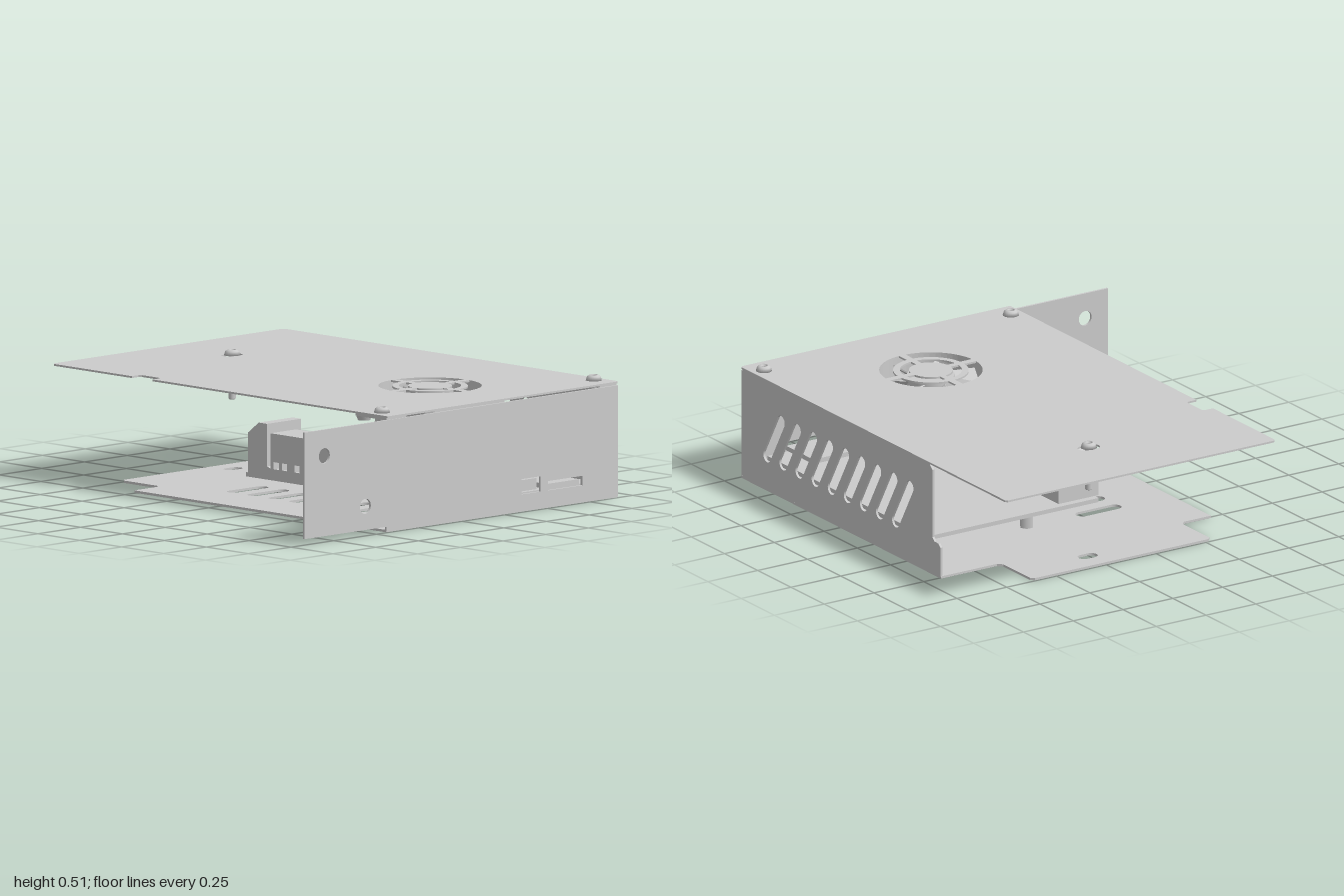
import * as THREE from 'three';

const mat = new THREE.MeshStandardMaterial({ color: 0xcccccc });

export function createModel() {
  const root = new THREE.Group();

  const add = (name, geo, x = 0, y = 0, z = 0, parent = root) => {
    const m = new THREE.Mesh(geo, mat);
    m.name = name;
    m.position.set(x, y, z);
    parent.add(m);
    return m;
  };
  // Box given by its min and max on each axis
  const box = (name, x0, x1, y0, y1, z0, z1) =>
    add(name, new THREE.BoxGeometry(x1 - x0, y1 - y0, z1 - z0), (x0 + x1) / 2, (y0 + y1) / 2, (z0 + z1) / 2);
  const cyl = (name, r, x, y0, y1, z, sides = 20, r2 = r) =>
    add(name, new THREE.CylinderGeometry(r2, r, y1 - y0, sides), x, (y0 + y1) / 2, z);

  const poly = (pts) => new THREE.Shape(pts.map((p) => new THREE.Vector2(p[0], p[1])));
  const polyHole = (pts) => new THREE.Path(pts.map((p) => new THREE.Vector2(p[0], p[1])));
  const rectHole = (a, b, c, d) => polyHole([[a, c], [a, d], [b, d], [b, c]]);
  // Rounded slot; angle is the direction of its long axis
  const slot = (cx, cy, length, width, angle) => {
    const p = new THREE.Path(), h = (length - width) / 2, r = width / 2;
    const dx = Math.cos(angle) * h, dy = Math.sin(angle) * h;
    p.absarc(cx + dx, cy + dy, r, angle - Math.PI / 2, angle + Math.PI / 2, false);
    p.absarc(cx - dx, cy - dy, r, angle + Math.PI / 2, angle + Math.PI * 1.5, false);
    p.closePath();
    return p;
  };
  // Quarter ring opening between two spokes
  const arcHole = (cx, cy, r0, r1, a, gap) => {
    const p = new THREE.Path(), g1 = gap / r1, g0 = gap / r0, e = a + Math.PI / 2;
    p.absarc(cx, cy, r1, a + g1, e - g1, false);
    p.absarc(cx, cy, r0, e - g0, a + g0, true);
    p.closePath();
    return p;
  };
  const extrude = (shape, depth) => new THREE.ExtrudeGeometry(shape, { depth, bevelEnabled: false, curveSegments: 14 });
  // Horizontal sheet: shape drawn in (x, -z)
  const sheet = (name, shape, y, t) => add(name, extrude(shape, t).rotateX(-Math.PI / 2), 0, y, 0);
  const UP = Math.PI / 2;

  // Top cover with fan grill, front notch and screw slot
  const FX = 0.525, FZ = -0.28;
  const top = poly([[-0.99, -0.435], [-0.525, -0.435], [-0.525, -0.395], [-0.515, -0.385], [-0.41, -0.385], [-0.4, -0.395],
    [-0.4, -0.435], [1, -0.435], [1, 0.91], [0.99, 0.92], [-0.99, 0.92], [-1, 0.91], [-1, -0.425]]);
  for (let i = 0; i < 4; i++) {
    top.holes.push(arcHole(FX, -FZ, 0.158, 0.216, i * UP, 0.016));
    top.holes.push(arcHole(FX, -FZ, 0.092, 0.13, i * UP, 0.014));
  }
  top.holes.push(slot(-0.64, 0.265, 0.1, 0.06, UP));
  sheet('topCover', top, 0.483, 0.008);

  // Base plate with two rows of vents and a side tab
  const base = poly([[-0.51, -0.435], [0.99, -0.435], [0.99, 0.92], [-0.51, 0.92], [-0.51, 0.64], [-0.53, 0.62], [-0.73, 0.62],
    [-0.745, 0.605], [-0.745, -0.265], [-0.73, -0.28], [-0.53, -0.28], [-0.51, -0.3]]);
  for (let i = 0; i < 10; i++) base.holes.push(slot(0.92 - i * 0.124, -0.08, 0.22, 0.058, UP));
  for (let i = 0; i < 5; i++) base.holes.push(slot(0.91 - i * 0.126, 0.28, 0.22, 0.058, UP));
  base.holes.push(slot(-0.64, 0.27, 0.09, 0.055, UP));
  const posts = [[-0.195, -0.28], [0.025, -0.7], [0.185, -0.25], [0.77, -0.7]];
  posts.forEach(([x, z]) => base.holes.push(slot(x, -z, 0.0301, 0.03, 0)));
  sheet('basePlate', base, 0, 0.01);

  // Back wall with slanted vents
  const back = poly([[-0.505, 0.005], [0.985, 0.005], [0.985, 0.483], [-0.425, 0.483], [-0.445, 0.463], [-0.445, 0.165],
    [-0.46, 0.15], [-0.49, 0.15], [-0.505, 0.135]]);
  for (let i = 0; i < 9; i++) back.holes.push(slot(-0.222 + i * 0.121, 0.245, 0.265, 0.056, THREE.MathUtils.degToRad(120)));
  add('backWall', extrude(back, 0.01), 0, 0, -0.92);

  // Right wall, running forward as a mounting flange; shape drawn in (z, y)
  const side = poly([[-0.915, 0.005], [0.44, 0.005], [0.44, 0.025], [0.92, 0.025], [0.92, 0.475], [-0.915, 0.475]]);
  side.holes.push(slot(0.805, 0.365, 0.0641, 0.064, 0), slot(0.565, 0.125, 0.0641, 0.064, 0));
  side.holes.push(rectHole(-0.46, -0.35, 0.075, 0.14), rectHole(-0.705, -0.505, 0.075, 0.115));
  add('sideWall', extrude(side, 0.01).rotateY(-UP), 1, 0, 0);

  // Tabs under the cover for the corner screws
  box('frontScrewTab', 0.84, 0.995, 0.473, 0.483, 0.32, 0.435);
  box('backScrewTab', 0.84, 0.985, 0.473, 0.483, -0.915, -0.82);

  // Screws: washer, domed head with socket, shank
  const screw = (x, z, yEnd) => {
    const pts = [[0, 0.5], [0.012, 0.5], [0.012, 0.514], [0.02, 0.514], [0.029, 0.507], [0.034, 0.491], [0.016, 0.489], [0.016, yEnd + 0.004], [0.012, yEnd], [0, yEnd]];
    const g = new THREE.LatheGeometry(pts.reverse().map((p) => new THREE.Vector2(p[0], p[1])), 20);
    add('screw', g, x, 0, z);
  };
  screw(-0.64, -0.265, 0.305);
  screw(0.905, -0.865, 0.425);
  screw(0.905, 0.375, 0.425);

  // Fan: square housing, hub, blades and corner bolts
  const R = 0.235, c = 0.03;
  const frame = poly([[FX - R + c, -FZ - R], [FX + R - c, -FZ - R], [FX + R, -FZ - R + c], [FX + R, -FZ + R - c],
    [FX + R - c, -FZ + R], [FX - R + c, -FZ + R], [FX - R, -FZ + R - c], [FX - R, -FZ - R + c]]);
  frame.holes.push(slot(FX, -FZ, 0.4401, 0.44, 0));
  sheet('fanHousing', frame, 0.367, 0.116);
  cyl('fanHub', 0.1, FX, 0.37, 0.472, FZ, 32);
  const rotor = new THREE.Group();
  rotor.name = 'fanBlades';
  rotor.position.set(FX, 0.42, FZ);
  root.add(rotor);
  for (let i = 0; i < 7; i++) {
    const arm = new THREE.Group();
    arm.rotation.y = (i * Math.PI * 2) / 7;
    rotor.add(arm);
    add('fanBlade', new THREE.BoxGeometry(0.125, 0.006, 0.12), 0.15, 0, 0, arm).rotation.x = 0.65;
  }
  for (let i = 0; i < 3; i++) {
    const a = (i * Math.PI * 2) / 3;
    const strut = add('fanStrut', new THREE.BoxGeometry(0.23, 0.012, 0.02), FX + Math.cos(a) * 0.115, 0.373, FZ - Math.sin(a) * 0.115);
    strut.rotation.y = a;
  }
  for (const sx of [-1, 1]) for (const sz of [-1, 1])
    cyl('fanBolt', 0.026, FX + sx * 0.195, 0.345, 0.368, FZ + sz * 0.195, 16, 0.034);

  // Circuit board on standoffs
  posts.forEach(([x, z]) => cyl('standoff', 0.03, x, 0.01, 0.06, z, 6));
  box('circuitBoard', -0.225, 0.975, 0.06, 0.078, -0.8, 0.06);

  // Sloped connector at the board's left end
  const conn = poly([[-0.195, 0.078], [-0.05, 0.078], [-0.05, 0.11], [-0.08, 0.12], [-0.08, 0.3], [-0.13, 0.3], [-0.195, 0.25]]);
  add('slopedConnector', extrude(conn, 0.2), 0, 0, -0.12);

  // Terminal block with square wire openings
  const term = poly([[-0.05, 0.078], [0.31, 0.078], [0.31, 0.265], [-0.05, 0.265]]);
  for (const x of [-0.015, 0.035, 0.11, 0.16, 0.23, 0.28])
    term.holes.push(rectHole(x - 0.015, x + 0.015, 0.115, 0.145));
  add('terminalBlock', extrude(term, 0.03), 0, 0, 0.06);
  box('terminalBody', -0.05, 0.31, 0.078, 0.265, -0.06, 0.06);

  // Row of low blocks along the front of the board
  const edges = [0.315, 0.42, 0.52, 0.68, 0.74, 0.83, 0.92, 0.98];
  for (let i = 0; i < edges.length - 1; i++)
    box('plugBlock', edges[i] + 0.002, edges[i + 1] - 0.002, 0.078, 0.203, -0.1, i % 2 ? 0.04 : 0.07);

  // Ports behind the side wall openings
  box('squarePort', 0.87, 0.985, 0.085, 0.132, -0.45, -0.365);
  box('cardSlot', 0.78, 0.985, 0.08, 0.1, -0.7, -0.51);

  return root;
}
